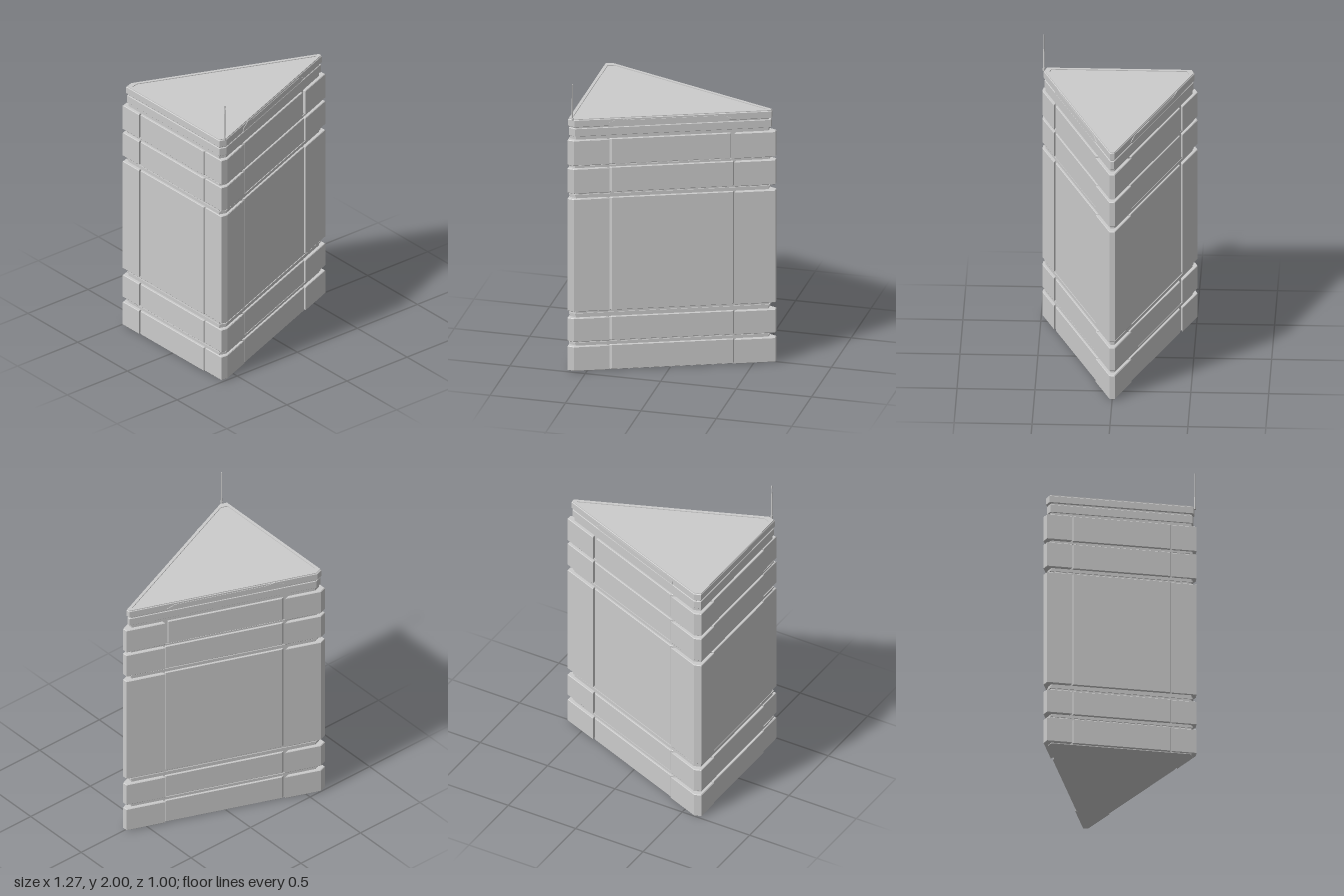
import * as THREE from 'three';

const mat = new THREE.MeshStandardMaterial({ color: 0xcccccc, flatShading: true });
const LEFT = -0.635, TIP = 0.633;

// half width of the triangular plan at x, pulled in by d
const half = (x, d = 0) => 0.5035 - 0.3977 * (x + 0.59) - d * 1.076;

// triangular outline with chamfered corners, pulled in by d
function outline(d, tip = TIP - d) {
  const l = LEFT + d, c = l + 0.045;
  const side = [[l, half(l, d) - 0.033], [c, half(c, d)], [tip, half(tip, d)]];
  return [...side, ...side.map(([x, z]) => [x, -z]).reverse()];
}

function shapeOf(points) {
  return new THREE.Shape(points.map(([x, z]) => new THREE.Vector2(x, -z)));
}

// vertical prism over a plan of [x, z] points
function prism(name, points, y0, y1, bevel = 0, hole = null) {
  const shape = shapeOf(points);
  if (hole) shape.holes.push(shapeOf(hole));
  const geo = new THREE.ExtrudeGeometry(shape, {
    depth: y1 - y0 - 2 * bevel, bevelEnabled: bevel > 0, bevelThickness: bevel,
    bevelSize: bevel, bevelOffset: -bevel, bevelSegments: 1,
  });
  geo.rotateX(-Math.PI / 2);
  geo.translate(0, y0 + bevel, 0);
  const mesh = new THREE.Mesh(geo, mat);
  mesh.name = name;
  return mesh;
}

// one cladding band: middle panels, tip piece and two rear corner pieces
function band(y0, y1, panelEnd) {
  const g = new THREE.Group();
  g.name = 'claddingBand';
  const d = 0.009, l = LEFT + 0.006;
  const mid = [[l, 0.315], [-0.35, half(-0.35, d)], [panelEnd, half(panelEnd, d)]];
  g.add(prism('wallPanels', [...mid, ...mid.map(([x, z]) => [x, -z]).reverse()], y0, y1, 0.003));

  const t = 0.388;
  g.add(prism('tipCorner', [[t, half(t)], [TIP, half(TIP)], [TIP, -half(TIP)], [t, -half(t)]], y0, y1, 0.004));

  const corner = (x, x2, din) => [[x, 0.325], [x, 0.488], [x2, half(x2, din)], [-0.364, half(-0.364, din)]];
  g.add(prism('backCorner', corner(LEFT, -0.59, 0).map(([x, z]) => [x, -z]), y0, y1, 0.004));
  g.add(prism('frontCorner', corner(-0.622, -0.576, 0.004), y0, y1, 0.004));
  return g;
}

export function createModel() {
  const model = new THREE.Group();

  // inner core visible in the grooves
  model.add(prism('core', outline(0.022, 0.586), 0, 1.71));
  for (const y of [0.192, 0.395, 1.222, 1.422]) {
    model.add(prism('grooveRib', outline(0.017, 0.594), y - 0.006, y + 0.006));
  }

  // stacked cladding bands
  const bands = [[0.005, 0.175], [0.208, 0.372], [0.418, 1.202], [1.24, 1.412], [1.434, 1.61]];
  bands.forEach(([a, b], i) => model.add(band(a, b, i === 4 ? 0.362 : 0.378)));

  // collar and roof cap
  model.add(prism('collar', outline(0.017, 0.602), 1.632, 1.688, 0.003));
  model.add(prism('roofCap', outline(0.013, 0.607), 1.698, 1.749, 0.004));
  model.add(prism('roofRim', outline(0.017, 0.603), 1.745, 1.754, 0, outline(0.037, 0.572)));

  // shallow trapezoid plates on the long sides of the cap
  const trapezoid = new THREE.Shape([[-0.37, 1.697], [0.34, 1.697], [0.37, 1.712], [0.32, 1.735], [-0.25, 1.735], [-0.31, 1.748], [-0.37, 1.72]]
    .map(([x, y]) => new THREE.Vector2(x, y)));
  for (const s of [1, -1]) {
    const geo = new THREE.ExtrudeGeometry(trapezoid, { depth: 0.012, bevelEnabled: false });
    const p = geo.attributes.position;
    for (let i = 0; i < p.count; i++) {
      const z = half(p.getX(i), 0.021) + p.getZ(i);
      p.setZ(i, z);
    }
    if (s < 0) geo.rotateZ(0).scale(1, 1, -1);
    if (s < 0) {
      // mirrored triangles need their corner order restored
      for (let i = 0; i < p.count; i += 3) {
        const a = new THREE.Vector3().fromBufferAttribute(p, i);
        const b = new THREE.Vector3().fromBufferAttribute(p, i + 1);
        p.setXYZ(i, b.x, b.y, b.z);
        p.setXYZ(i + 1, a.x, a.y, a.z);
      }
    }
    geo.computeVertexNormals();
    const plate = new THREE.Mesh(geo, mat);
    plate.name = 'capSidePlate';
    model.add(plate);
  }

  // antenna on the front left corner of the roof
  const antenna = new THREE.Group();
  antenna.name = 'antenna';
  const rods = [[0.007, 0.007, 1.745, 1.765], [0.003, 0.005, 1.765, 1.98], [0.0035, 0.0035, 1.98, 2]];
  for (const [rt, rb, y0, y1] of rods) {
    const rod = new THREE.Mesh(new THREE.CylinderGeometry(rt, rb, y1 - y0, 8), mat);
    rod.name = 'antennaRod';
    rod.position.set(-0.59, (y0 + y1) / 2, 0.484);
    antenna.add(rod);
  }
  model.add(antenna);
  return model;
}
